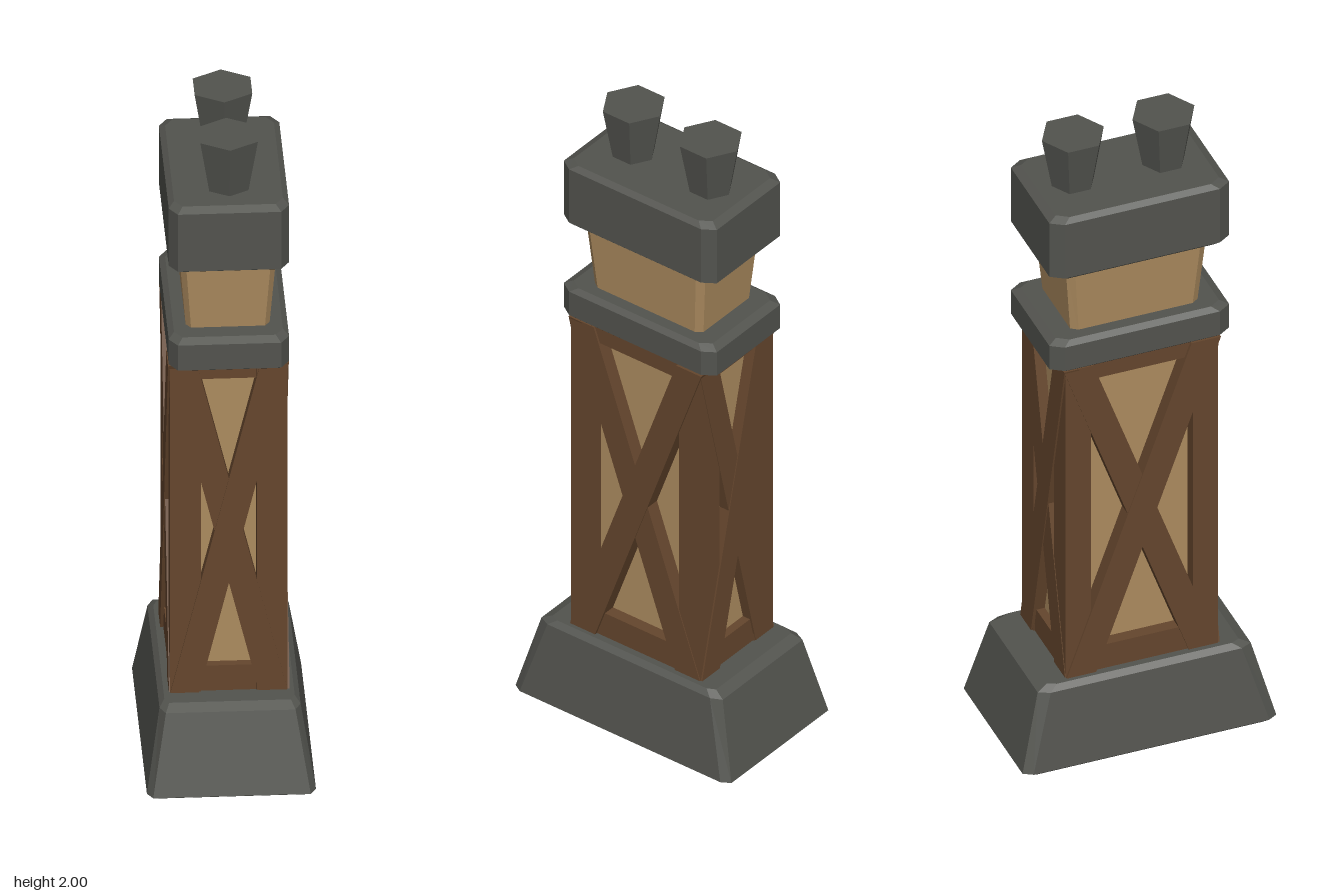
import * as THREE from 'three';

const stone = new THREE.MeshStandardMaterial({ color: 0x52534e });
stone.name = 'dark stone';
const plaster = new THREE.MeshStandardMaterial({ color: 0xac8b5f });
plaster.name = 'tan plaster';
const timber = new THREE.MeshStandardMaterial({ color: 0x65462d });
timber.name = 'brown timber';

// Flat-faced loft through chamfered rectangles: [y, halfX, halfZ, cutX, cutZ]
function chamferLoft(levels) {
  const rings = levels.map(([y, x, z, cx, cz]) => [
    [x, y, z - cz], [x - cx, y, z], [cx - x, y, z], [-x, y, z - cz],
    [-x, y, cz - z], [cx - x, y, -z], [x - cx, y, -z], [x, y, cz - z],
  ]);
  const out = [];
  const tri = (a, b, c) => out.push(...a, ...b, ...c);
  for (let r = 0; r < rings.length - 1; r++) {
    for (let i = 0; i < 8; i++) {
      const j = (i + 1) % 8;
      tri(rings[r][i], rings[r + 1][j], rings[r][j]);
      tri(rings[r][i], rings[r + 1][i], rings[r + 1][j]);
    }
  }
  const low = rings[0], top = rings[rings.length - 1];
  for (let i = 1; i < 7; i++) {
    tri(low[0], low[i], low[i + 1]);
    tri(top[0], top[i + 1], top[i]);
  }
  const g = new THREE.BufferGeometry();
  g.setAttribute('position', new THREE.Float32BufferAttribute(out, 3));
  g.computeVertexNormals();
  return g;
}

function add(parent, name, geometry, material, x = 0, y = 0, z = 0) {
  const m = new THREE.Mesh(geometry, material);
  m.name = name;
  m.position.set(x, y, z);
  parent.add(m);
  return m;
}

// Slanted brace with level ends, centred on x = 0, front face at z = depth
function addBrace(parent, slope, halfWidth, depth, thickness) {
  const y0 = 0.26, y1 = 1.32, mid = 0.785;
  const a = (y0 - mid) * slope, b = (y1 - mid) * slope;
  const shape = new THREE.Shape([
    new THREE.Vector2(a - halfWidth, y0), new THREE.Vector2(a + halfWidth, y0),
    new THREE.Vector2(b + halfWidth, y1), new THREE.Vector2(b - halfWidth, y1),
  ]);
  const g = new THREE.ExtrudeGeometry(shape, { depth: thickness, bevelEnabled: false });
  add(parent, 'crossBrace', g, timber, 0, 0, depth - thickness);
}

// One timbered wall: top rail, bottom rail and two crossing braces
function addWall(parent, name, angle, w) {
  const wall = new THREE.Group();
  wall.name = name;
  wall.rotation.y = angle;
  const t = 0.045;
  add(wall, 'topRail', new THREE.BoxGeometry(w.span, 0.05, t), timber, 0, 1.295, w.depth - t / 2 - 0.004);
  add(wall, 'bottomRail', new THREE.BoxGeometry(w.span, 0.09, t), timber, 0, 0.305, w.depth - t / 2 - 0.004);
  addBrace(wall, -w.slope, w.half, w.depth + 0.002, t);
  addBrace(wall, w.slope, w.half, w.depth + 0.005, t);
  parent.add(wall);
}

export function createModel() {
  const model = new THREE.Group();
  model.name = 'chimneyTower';

  // Stone foot with the plaster core showing underneath
  add(model, 'foot', chamferLoft([
    [0.008, 0.225, 0.365, 0.016, 0.027],
    [0.018, 0.236, 0.381, 0.016, 0.027],
    [0.255, 0.197, 0.32, 0.016, 0.033],
    [0.27, 0.182, 0.288, 0.012, 0.025],
  ]), stone);
  add(model, 'core', new THREE.BoxGeometry(0.25, 1.33, 0.4), plaster, 0, 0.665, 0);

  // Corner posts
  for (const sx of [-1, 1]) {
    for (const sz of [-1, 1]) {
      add(model, 'cornerPost', new THREE.BoxGeometry(0.086, 1.06, 0.076), timber,
        sx * 0.121, 0.79, sz * 0.191);
    }
  }

  // Four timbered walls, narrow and wide in turn
  const narrow = { span: 0.2, depth: 0.229, slope: 0.24, half: 0.04 };
  const wide = { span: 0.34, depth: 0.165, slope: 0.357, half: 0.044 };
  ['frontWall', 'leftWall', 'backWall', 'rightWall'].forEach((name, i) => {
    addWall(model, name, i * Math.PI / 2, i % 2 ? wide : narrow);
  });

  // Stone band, flared plaster neck and stone cap
  const slab = (y0, y1) => chamferLoft([
    [y0, 0.155, 0.25, 0.022, 0.033],
    [y0 + 0.012, 0.168, 0.27, 0.024, 0.037],
    [y1 - 0.012, 0.168, 0.27, 0.024, 0.037],
    [y1, 0.152, 0.245, 0.022, 0.033],
  ]);
  add(model, 'band', slab(1.313, 1.417), stone);
  add(model, 'neck', chamferLoft([
    [1.4, 0.116, 0.19, 0.014, 0.02],
    [1.65, 0.136, 0.212, 0.016, 0.022],
  ]), plaster);
  add(model, 'cap', slab(1.63, 1.837), stone);

  // Hexagonal chimney pots
  for (const z of [-0.14, 0.132]) {
    const pot = new THREE.CylinderGeometry(0.093, 0.062, 0.17, 6).toNonIndexed();
    pot.computeVertexNormals();
    add(model, 'chimneyPot', pot, stone, 0.004, 1.915, z);
  }
  return model;
}
